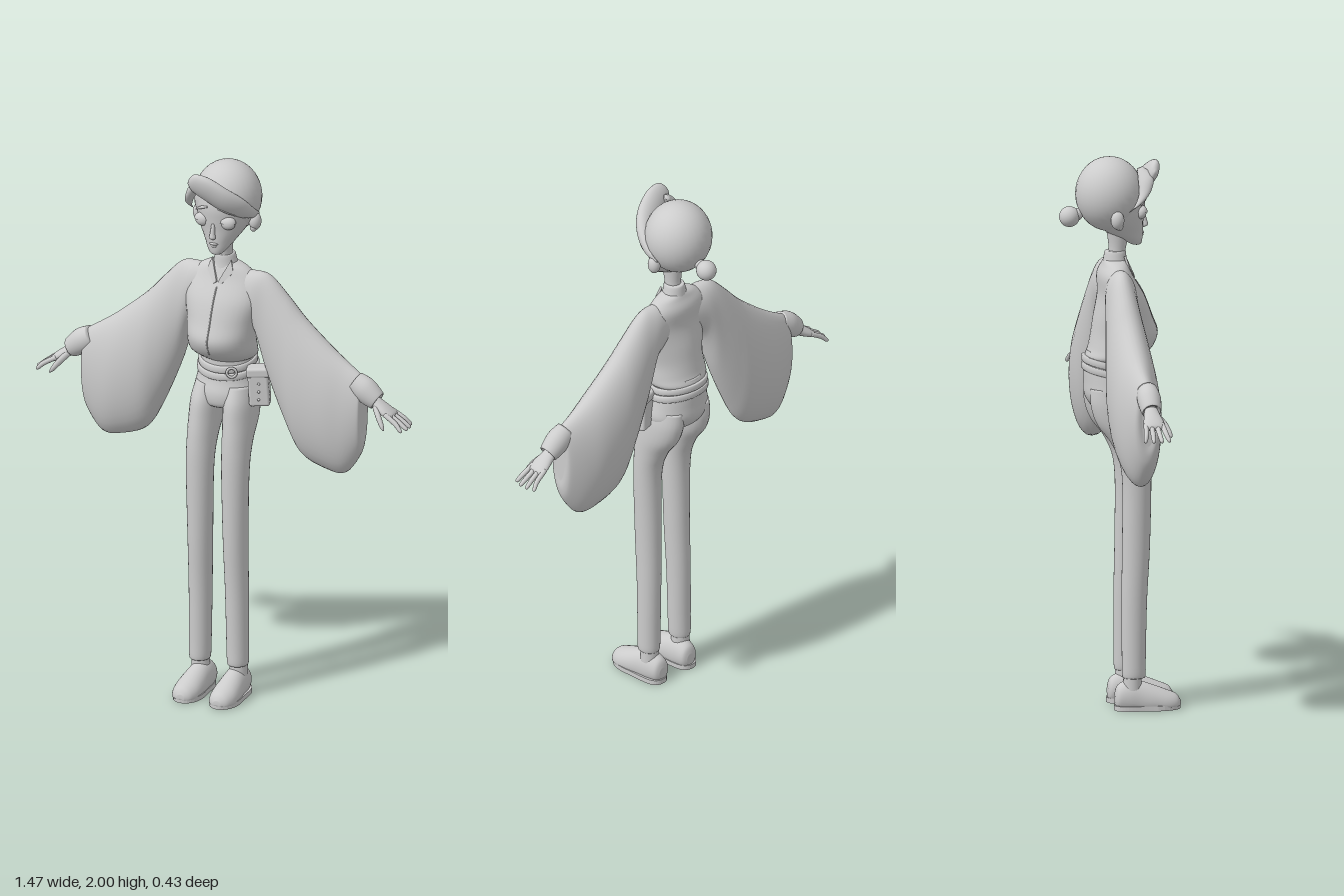
import * as THREE from 'three';
import { RoundedBoxGeometry } from 'three/addons/geometries/RoundedBoxGeometry.js';

const grey = new THREE.MeshStandardMaterial({ color: 0xcccccc });
grey.name = 'plain grey';

const X = [1, 0, 0], Y = [0, 1, 0], Z = [0, 0, 1];

// Smooth closed loft. Rows are [x, y, z, radiusA, radiusB]; A and B are the ring's axes.
function loft(rows, A, B, { seg = 28, steps = 5, floor = -Infinity } = {}) {
  const rings = [];
  const at = (i) => rows[Math.min(Math.max(i, 0), rows.length - 1)];
  for (let i = 0; i < rows.length - 1; i++) {
    for (let s = 0; s < steps; s++) rings.push(blend(at(i - 1), at(i), at(i + 1), at(i + 2), s / steps));
  }
  rings.push(at(rows.length - 1));
  const pos = [], index = [];
  for (const [x, y, z, a, b] of rings) {
    for (let k = 0; k < seg; k++) {
      const t = (k / seg) * Math.PI * 2, c = Math.cos(t) * a, d = Math.sin(t) * b;
      pos.push(x + A[0] * c + B[0] * d, Math.max(floor, y + A[1] * c + B[1] * d), z + A[2] * c + B[2] * d);
    }
  }
  for (let r = 0; r < rings.length - 1; r++) {
    for (let k = 0; k < seg; k++) {
      const a = r * seg + k, b = r * seg + (k + 1) % seg;
      index.push(a, b, a + seg, b, b + seg, a + seg);
    }
  }
  // end caps
  const last = (rings.length - 1) * seg, tip = rings.length * seg;
  const [p, q] = [rings[0], rings[rings.length - 1]];
  pos.push(p[0], Math.max(floor, p[1]), p[2], q[0], Math.max(floor, q[1]), q[2]);
  for (let k = 0; k < seg; k++) {
    const n = (k + 1) % seg;
    index.push(tip, n, k, tip + 1, last + k, last + n);
  }
  // make faces point outward
  let volume = 0;
  const v = (i) => new THREE.Vector3().fromArray(pos, i * 3);
  for (let i = 0; i < index.length; i += 3) volume += v(index[i]).dot(v(index[i + 1]).cross(v(index[i + 2])));
  if (volume < 0) index.reverse();
  const g = new THREE.BufferGeometry();
  g.setAttribute('position', new THREE.Float32BufferAttribute(pos, 3));
  g.setIndex(index);
  g.computeVertexNormals();
  return g;
}

function blend(p0, p1, p2, p3, t) {
  return p1.map((_, k) => {
    const m1 = (p2[k] - p0[k]) / 2, m2 = (p3[k] - p1[k]) / 2, t2 = t * t, t3 = t2 * t;
    const value = (2 * t3 - 3 * t2 + 1) * p1[k] + (t3 - 2 * t2 + t) * m1 + (3 * t2 - 2 * t3) * p2[k] + (t3 - t2) * m2;
    return k > 2 ? Math.max(value, 0.0005) : value;
  });
}

export function createModel() {
  const model = new THREE.Group();
  const add = (name, geometry, position = [0, 0, 0], scale = [1, 1, 1], rotation = [0, 0, 0]) => {
    const mesh = new THREE.Mesh(geometry, grey);
    mesh.name = name;
    mesh.position.set(...position);
    mesh.scale.set(...scale);
    mesh.rotation.set(...rotation);
    model.add(mesh);
    return mesh;
  };
  const ball = (name, position, scale) => add(name, new THREE.SphereGeometry(1, 28, 20), position, scale);

  // Head, neck and hair
  add('head', loft([
    [0, 1.677, 0.065, 0.008, 0.008], [0, 1.682, 0.062, 0.022, 0.02], [0, 1.70, 0.048, 0.038, 0.038],
    [0, 1.73, 0.02, 0.058, 0.068], [0, 1.77, -0.003, 0.084, 0.092], [0, 1.81, -0.015, 0.1, 0.108],
    [0, 1.86, -0.02, 0.106, 0.115], [0, 1.92, -0.025, 0.095, 0.105], [0, 1.96, -0.03, 0.06, 0.07],
  ], X, Z));
  add('neck', loft([[0, 1.58, -0.015, 0.035, 0.035], [0, 1.66, -0.005, 0.029, 0.03], [0, 1.74, 0, 0.035, 0.045]], X, Z));
  ball('hairCap', [0, 1.866, -0.033], [0.122, 0.134, 0.122]);
  ball('hairBun', [0, 1.788, -0.178], [0.036, 0.037, 0.037]);
  ball('bunTie', [0, 1.795, -0.15], [0.022, 0.022, 0.02]);
  add('sweptFringe', loft([
    [-0.085, 1.955, 0.12, 0.006, 0.006], [-0.065, 1.955, 0.118, 0.038, 0.02], [-0.015, 1.935, 0.108, 0.052, 0.028],
    [0.045, 1.895, 0.085, 0.052, 0.03], [0.09, 1.86, 0.045, 0.042, 0.026], [0.115, 1.83, 0.0, 0.022, 0.014],
    [0.118, 1.815, -0.045, 0.004, 0.004],
  ], [0.25, 0.92, 0.28], [0.4, -0.2, 0.9]));
  add('sideFringe', loft([
    [-0.04, 1.965, 0.07, 0.01, 0.01], [-0.07, 1.93, 0.085, 0.028, 0.022], [-0.095, 1.89, 0.08, 0.026, 0.018],
    [-0.113, 1.85, 0.055, 0.018, 0.013], [-0.115, 1.82, 0.02, 0.003, 0.003],
  ], [0.3, 0.3, 0.9], [-0.8, 0.3, 0.4]));

  // Face
  add('nose', loft([
    [0, 1.80, 0.088, 0.006, 0.006], [0, 1.765, 0.094, 0.009, 0.01], [0, 1.748, 0.096, 0.012, 0.011], [0, 1.74, 0.09, 0.004, 0.004],
  ], X, Z, { seg: 14 }));
  ball('upperLip', [0, 1.722, 0.086], [0.017, 0.005, 0.007]);
  ball('lowerLip', [0, 1.713, 0.083], [0.013, 0.005, 0.007]);

  // Torso: soft blouse gathered over the waist
  add('blouse', loft([
    [0, 1.628, -0.015, 0.045, 0.038], [0, 1.61, -0.014, 0.09, 0.046], [0, 1.57, -0.013, 0.13, 0.062],
    [0, 1.50, 0.008, 0.143, 0.082], [0, 1.42, 0.015, 0.13, 0.105], [0, 1.36, 0.02, 0.124, 0.12],
    [0, 1.31, 0.005, 0.124, 0.115], [0, 1.28, -0.02, 0.115, 0.1], [0, 1.262, -0.03, 0.09, 0.08],
  ], X, Z, { seg: 36 }));
  add('collar', loft([
    [0, 1.585, -0.012, 0.066, 0.05], [0, 1.62, -0.013, 0.046, 0.043], [0, 1.655, -0.012, 0.036, 0.038], [0, 1.66, -0.012, 0.03, 0.032],
  ], X, Z));
  add('frontSeam', loft([
    [0, 1.55, 0.06, 0.003, 0.004], [0, 1.50, 0.089, 0.003, 0.004], [0, 1.42, 0.119, 0.003, 0.004],
    [0, 1.36, 0.139, 0.003, 0.004], [0, 1.31, 0.119, 0.003, 0.004],
  ], X, Z, { seg: 8 }));

  // Hips and belts, higher at the back
  add('hips', loft([
    [0, 1.30, -0.03, 0.095, 0.085], [0, 1.25, -0.035, 0.102, 0.09], [0, 1.19, -0.033, 0.112, 0.092],
    [0, 1.14, -0.025, 0.12, 0.098], [0, 1.10, -0.015, 0.105, 0.085], [0, 1.085, -0.01, 0.07, 0.06],
  ], X, Z, { seg: 36 }));
  for (const [y, r] of [[1.252, 0.108], [1.224, 0.114]]) {
    add('belt', loft([
      [0, y - 0.013, -0.034, r - 0.006, 0.092], [0, y - 0.01, -0.034, r, 0.098],
      [0, y + 0.01, -0.034, r, 0.098], [0, y + 0.013, -0.034, r - 0.006, 0.092],
    ], X, [0, -0.2, 1], { seg: 36, steps: 2 }));
  }
  add('beltBuckle', new THREE.TorusGeometry(0.017, 0.005, 10, 24), [0.058, 1.23, 0.058], [1, 1, 1], [0, 0.4, 0]);

  // Belt pouch on the left hip
  const tilt = [0, 0.35, 0.06];
  add('pouch', new RoundedBoxGeometry(0.075, 0.13, 0.06, 3, 0.01), [0.142, 1.172, 0.005], [1, 1, 1], tilt);
  add('pouchFlap', new RoundedBoxGeometry(0.084, 0.036, 0.068, 3, 0.01), [0.139, 1.234, 0.005], [1, 1, 1], tilt);
  for (const y of [1.195, 1.165, 1.135]) ball('pouchStud', [0.154, y, 0.035], [0.005, 0.005, 0.005]);

  for (const s of [1, -1]) {
    const side = (rows) => rows.map(([x, ...rest]) => [s * x, ...rest]);

    // Eyes, lids, brows and ears
    ball('eye', [s * 0.05, 1.803, 0.072], [0.028, 0.023, 0.019]);
    add('eyelid', new THREE.SphereGeometry(1, 24, 12, 0, Math.PI * 2, 0, Math.PI / 2),
      [s * 0.05, 1.806, 0.072], [0.031, 0.024, 0.023]);
    add('eyebrow', loft(side([
      [0.02, 1.862, 0.094, 0.003, 0.003], [0.05, 1.853, 0.086, 0.006, 0.006], [0.08, 1.835, 0.067, 0.002, 0.002],
    ]), Y, Z, { seg: 10 }));
    ball('ear', [s * 0.111, 1.79, -0.025], [0.022, 0.033, 0.024]);
    ball('earLobe', [s * 0.108, 1.767, -0.018], [0.013, 0.015, 0.014]);

    // Pointed collar flap
    const flap = new THREE.Shape([[0, 0], [s * 0.036, 0.085], [s * 0.05, 0.04], [s * 0.012, -0.008]].map((p) => new THREE.Vector2(...p)));
    add('collarFlap', new THREE.ExtrudeGeometry(flap, { depth: 0.008, bevelEnabled: false }),
      [s * 0.001, 1.565, 0.05], [1, 1, 1], [-0.35, s * 0.25, 0]);

    // Wide hanging sleeve
    add('sleeve', loft(side([
      [0.05, 1.51, -0.012, 0.09, 0.048], [0.12, 1.498, -0.014, 0.108, 0.058], [0.175, 1.405, -0.018, 0.19, 0.063],
      [0.245, 1.288, -0.018, 0.238, 0.077], [0.31, 1.198, -0.016, 0.258, 0.088], [0.41, 1.135, -0.013, 0.236, 0.086],
      [0.48, 1.11, -0.01, 0.211, 0.07], [0.535, 1.128, -0.005, 0.158, 0.05], [0.55, 1.145, -0.002, 0.125, 0.038],
      [0.548, 1.15, 0, 0.09, 0.022],
    ]), Y, Z, { seg: 36 }));

    // Cuff and hand
    const across = [s * 0.52, 0.85, 0];
    add('cuff', loft(side([
      [0.52, 1.255, 0, 0.04, 0.036], [0.56, 1.23, 0, 0.047, 0.042], [0.602, 1.2, 0, 0.038, 0.036],
      [0.608, 1.196, 0, 0.03, 0.03], [0.595, 1.2, 0, 0.022, 0.022],
    ]), across, Z));
    add('palm', loft(side([
      [0.57, 1.21, 0, 0.02, 0.022], [0.605, 1.188, 0, 0.02, 0.027], [0.64, 1.166, 0, 0.018, 0.036],
      [0.666, 1.15, -0.002, 0.013, 0.037], [0.674, 1.145, -0.002, 0.005, 0.03],
    ]), across, Z));
    for (let i = 0; i < 4; i++) {
      const z = -0.03 + i * 0.0195, end = 0.737 - Math.abs(i - 1.6) * 0.009;
      add('finger', loft(side([
        [0.65, 1.16, z, 0.009, 0.009], [0.695, 1.134, z * 1.2, 0.009, 0.009],
        [end - 0.006, 1.113, z * 1.45, 0.007, 0.007], [end, 1.109, z * 1.47, 0.002, 0.002],
      ]), across, Z, { seg: 12 }));
    }
    add('thumb', loft(side([
      [0.605, 1.183, 0.016, 0.012, 0.012], [0.63, 1.155, 0.04, 0.012, 0.012],
      [0.653, 1.125, 0.056, 0.009, 0.009], [0.663, 1.112, 0.061, 0.002, 0.002],
    ]), across, Z, { seg: 12 }));

    // Trouser leg
    add('trouserLeg', loft(side([
      [0.06, 1.17, -0.028, 0.05, 0.085], [0.064, 1.11, -0.015, 0.058, 0.098], [0.067, 1.04, 0.002, 0.058, 0.092],
      [0.069, 0.96, 0.034, 0.053, 0.068], [0.07, 0.85, 0.052, 0.05, 0.053], [0.07, 0.6, 0.05, 0.045, 0.05],
      [0.072, 0.4, 0.043, 0.042, 0.046], [0.074, 0.2, 0.041, 0.04, 0.043], [0.075, 0.125, 0.041, 0.038, 0.042],
      [0.075, 0.118, 0.041, 0.03, 0.034],
    ]), X, Z));

    // Ankle, shoe and sole
    add('ankle', new THREE.CylinderGeometry(0.032, 0.034, 0.06, 24), [s * 0.075, 0.105, 0.036]);
    add('shoe', loft(side([
      [0.068, 0.04, -0.026, 0.016, 0.02], [0.068, 0.045, -0.015, 0.034, 0.045], [0.069, 0.045, 0.02, 0.042, 0.062],
      [0.07, 0.04, 0.06, 0.045, 0.065], [0.072, 0.03, 0.11, 0.05, 0.058], [0.073, 0.02, 0.16, 0.05, 0.048],
      [0.073, 0.018, 0.195, 0.037, 0.034], [0.072, 0.018, 0.21, 0.014, 0.012],
    ]), X, Y, { floor: 0.012 }));
    const sole = new THREE.Shape();
    sole.moveTo(0, -0.03);
    sole.bezierCurveTo(0.055, -0.03, 0.04, 0.04, 0.053, 0.12);
    sole.bezierCurveTo(0.06, 0.24, -0.06, 0.24, -0.053, 0.12);
    sole.bezierCurveTo(-0.04, 0.04, -0.055, -0.03, 0, -0.03);
    add('sole', new THREE.ExtrudeGeometry(sole, { depth: 0.018, bevelEnabled: false, curveSegments: 14 }),
      [s * 0.072, 0.018, 0], [1, 1, 1], [Math.PI / 2, 0, 0]);
  }
  return model;
}
